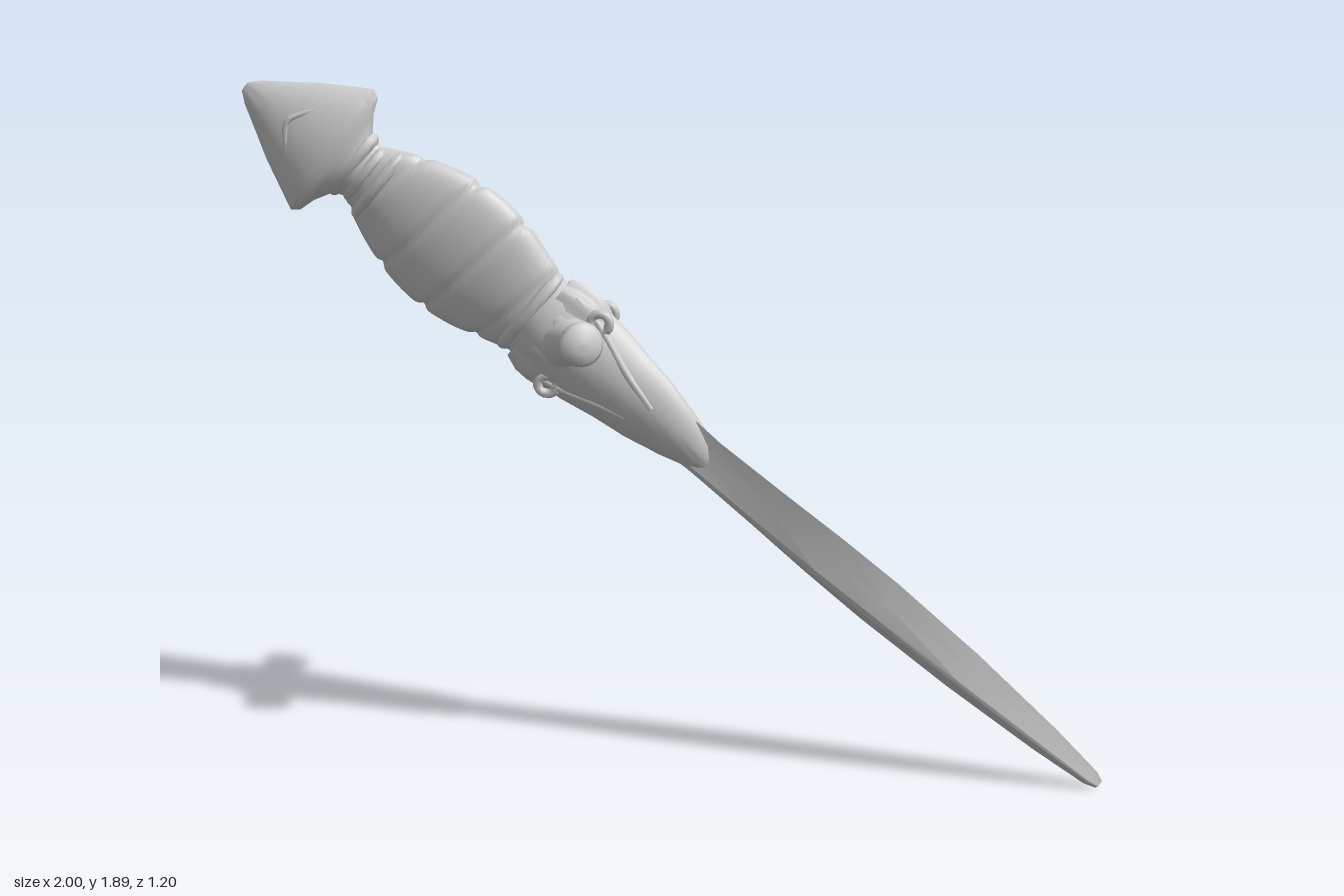
import * as THREE from 'three';
import { toCreasedNormals } from 'three/addons/utils/BufferGeometryUtils.js';

const material = new THREE.MeshStandardMaterial({ color: 0xcccccc });

// Dagger space: x = width, y = distance from the blade tip, z = thickness.
// Sections are [y, half width, half thickness, z offset, twist about y].
const ellipse = (n) => Array.from({ length: n }, (_, i) => {
  const a = (i / n) * Math.PI * 2;
  return [Math.cos(a), Math.sin(a)];
});
// Blade outline with an off-centre ridge: half of it, then the same turned by half a turn
const bladeHalf = [[1, 0], [0.35, 0.47], [-0.18, 0.95], [-0.36, 0.96], [-0.7, 0.42]];
const bladeSection = [...bladeHalf, ...bladeHalf.map(([x, z]) => [-x, -z])];
const lensSection = ellipse(32).map(([x, z]) => [x, z * (0.55 + 0.45 * Math.abs(z))]);

// Joins scaled copies of one outline, with a fan closing each end.
function loft(sections, outline, crease = 0.6, rule = () => 1) {
  const pos = [], index = [], n = outline.length, last = sections.length - 1;
  sections.forEach(([y, w, d, c, twist = 0]) => outline.forEach(([ox, oz], j) => {
    const k = rule(y, j / n), x = ox * w * k, z = oz * d * k;
    const cos = Math.cos(twist), sin = Math.sin(twist);
    pos.push(x * cos - z * sin, y, c + x * sin + z * cos);
  }));
  for (let i = 0; i < last; i++) for (let j = 0; j < n; j++) {
    const a = i * n + j, b = i * n + (j + 1) % n;
    index.push(a, a + n, b, b, a + n, b + n);
  }
  const base = pos.length / 3;
  for (const i of [0, last]) pos.push(0, sections[i][0], sections[i][3]);
  for (let j = 0; j < n; j++) {
    const k = (j + 1) % n;
    index.push(base, j, k, base + 1, last * n + k, last * n + j);
  }
  const g = new THREE.BufferGeometry();
  g.setAttribute('position', new THREE.Float32BufferAttribute(pos, 3));
  g.setIndex(index);
  return toCreasedNormals(g, crease);
}

// Resamples sections along a smooth curve.
function smooth(sections, count) {
  const a = new THREE.CatmullRomCurve3(sections.map(([y, w, d]) => new THREE.Vector3(y, w, d)));
  const c = sections[0][3];
  return a.getPoints(count).map((p) => [p.x, p.y, p.z, c]);
}

function add(parent, name, geometry) {
  const mesh = new THREE.Mesh(geometry, material);
  mesh.name = name;
  parent.add(mesh);
  return mesh;
}

const tube = (points, r) => new THREE.TubeGeometry(
  new THREE.CatmullRomCurve3(points.map((p) => new THREE.Vector3(...p))), 24, r, 8);

export function createModel() {
  const model = new THREE.Group();
  const dagger = new THREE.Group();
  dagger.name = 'dagger';
  model.add(dagger);

  // Blade that twists gently toward its root, ridged on each face
  add(dagger, 'blade', loft([
    [0, 0.014, 0.008, -0.003, 0], [0.03, 0.026, 0.016, -0.003, 0], [0.2, 0.046, 0.027, -0.006, 0.05],
    [0.5, 0.07, 0.041, -0.01, 0.14], [0.8, 0.088, 0.05, -0.012, 0.29], [1.0, 0.092, 0.052, -0.012, 0.38],
    [1.2, 0.09, 0.05, -0.012, 0.46], [1.42, 0.084, 0.048, -0.012, 0.48], [1.75, 0.09, 0.05, -0.012, 0.3]],
  bladeSection, 0.3));

  // Pointed sleeve that grips the blade root and swells into the guard
  add(dagger, 'guardSleeve', loft([
    [1.38, 0.02, 0.025, -0.012, 0.46], [1.44, 0.06, 0.048, -0.012, 0.42], [1.52, 0.09, 0.06, -0.012, 0.34],
    [1.62, 0.112, 0.066, -0.015, 0.2], [1.72, 0.122, 0.073, -0.02, 0.08], [1.82, 0.138, 0.082, -0.02, 0],
    [1.92, 0.143, 0.085, -0.025, 0], [1.98, 0.135, 0.08, -0.025, 0], [2.03, 0.115, 0.065, -0.03, 0]], lensSection));

  // Lobed collar between sleeve and grip
  add(dagger, 'guardCollar', loft([
    [1.84, 0.125, 0.06, -0.025], [1.88, 0.146, 0.073, -0.025], [1.92, 0.152, 0.078, -0.025],
    [1.96, 0.15, 0.076, -0.025], [2.0, 0.135, 0.066, -0.028]], ellipse(64), 0.7,
  (y, turn) => 1 + 0.055 * Math.cos(turn * Math.PI * 20)));

  // Carved ribs and scrolls on both faces of the sleeve
  for (const side of [1, -1]) for (const s of [1, -1]) {
    add(dagger, 'sleeveRib', tube([[s * 0.03, 1.62, -0.015 + side * 0.052 + s * 0.006],
      [s * 0.06, 1.73, -0.02 + side * 0.054 + s * 0.004],
      [s * 0.1, 1.84, -0.022 + side * 0.045], [s * 0.125, 1.93, -0.025 + side * 0.03]], 0.011));
    const scroll = add(dagger, 'guardScroll', new THREE.TorusGeometry(0.026, 0.013, 8, 18));
    scroll.position.set(s * 0.115, 1.87, -0.022 + side * 0.042);
  }

  // Short quillons with flared rounded ends, one toward each face
  for (const [x, y, z] of [[0.078, 1.875, 0.125], [-0.065, 1.9, -0.175]]) {
    const quillon = new THREE.Group();
    quillon.name = 'quillon';
    const root = new THREE.Vector3(0, 1.91, -0.025);
    const reach = new THREE.Vector3(x, y, z).sub(root);
    quillon.position.copy(root);
    quillon.quaternion.setFromUnitVectors(new THREE.Vector3(0, 1, 0), reach.clone().normalize());
    const l = reach.length();
    add(quillon, 'quillonEnd', new THREE.LatheGeometry([[0.1, 0], [0.066, l * 0.45],
      [0.046, l * 0.7], [0.05, l * 0.85], [0.06, l * 0.96], [0.05, l + 0.008], [0.025, l + 0.018], [0, l + 0.02]]
      .map(([r, h]) => new THREE.Vector2(r, h)), 20));
    dagger.add(quillon);
  }

  // Swelling grip with a spiral groove
  const groove = (y, turn) => {
    const phase = (y - 2.03) / 0.155 - turn;
    const f = Math.abs(phase - Math.round(phase));
    return 1.015 - 0.07 * Math.exp(-((f / 0.08) ** 2));
  };
  add(dagger, 'grip', loft(smooth([
    [2.0, 0.122, 0.055, -0.03], [2.08, 0.148, 0.06, -0.03], [2.18, 0.178, 0.063, -0.03],
    [2.28, 0.189, 0.064, -0.03], [2.38, 0.178, 0.061, -0.03], [2.47, 0.15, 0.056, -0.03],
    [2.54, 0.118, 0.05, -0.03], [2.6, 0.085, 0.042, -0.03]], 110), ellipse(48), 0.9, groove));

  // Rings at both ends of the grip
  for (const [y, w, d, r] of [[2.03, 0.125, 0.06, 0.018], [2.545, 0.105, 0.05, 0.016],
    [2.59, 0.082, 0.045, 0.015], [2.63, 0.095, 0.046, 0.017]]) {
    add(dagger, 'collarRing', loft(Array.from({ length: 9 }, (_, i) => {
      const a = (i / 8 - 0.5) * Math.PI, k = Math.cos(a) * r;
      return [y + Math.sin(a) * r, w - 0.008 + k, d - 0.008 + k, -0.024];
    }), ellipse(32), 0.9));
  }

  // Flat arrow-shaped pommel, turned and tipped a little against the grip
  const pommel = new THREE.Group();
  pommel.name = 'pommel';
  pommel.position.set(0, 2.695, -0.008);
  pommel.rotation.set(0, 0.15, 0.06);
  dagger.add(pommel);
  add(pommel, 'pommelHead', loft([
    [-0.12, 0.075, 0.04, -0.012], [-0.065, 0.092, 0.045, -0.01], [-0.035, 0.14, 0.055, -0.006],
    [-0.02, 0.183, 0.06, -0.003], [0, 0.196, 0.061, 0], [0.025, 0.182, 0.06, 0],
    [0.125, 0.124, 0.044, 0.003], [0.2, 0.072, 0.027, 0.006], [0.25, 0.038, 0.015, 0.008],
    [0.275, 0.014, 0.006, 0.008]], lensSection));

  // Raised chevrons on both pommel faces
  for (const side of [1, -1]) for (const [y, w] of [[0.005, 0.12], [0.075, 0.08]]) {
    add(pommel, 'pommelChevron', tube([[-w, y, side * 0.033], [-w * 0.5, y + 0.035, side * 0.041],
      [0, y + 0.055, side * 0.046], [w * 0.5, y + 0.035, side * 0.041], [w, y, side * 0.033]], 0.008));
  }

  // Lean the dagger into its diagonal pose, tip down
  const pose = new THREE.Matrix4().makeBasis(new THREE.Vector3(0.543, 0.775, -0.324),
    new THREE.Vector3(-0.666, 0.632, 0.397), new THREE.Vector3(0.512, 0, 0.859));
  dagger.quaternion.setFromRotationMatrix(pose);
  dagger.position.set(0.988, 0.012, -0.59);
  return model;
}
